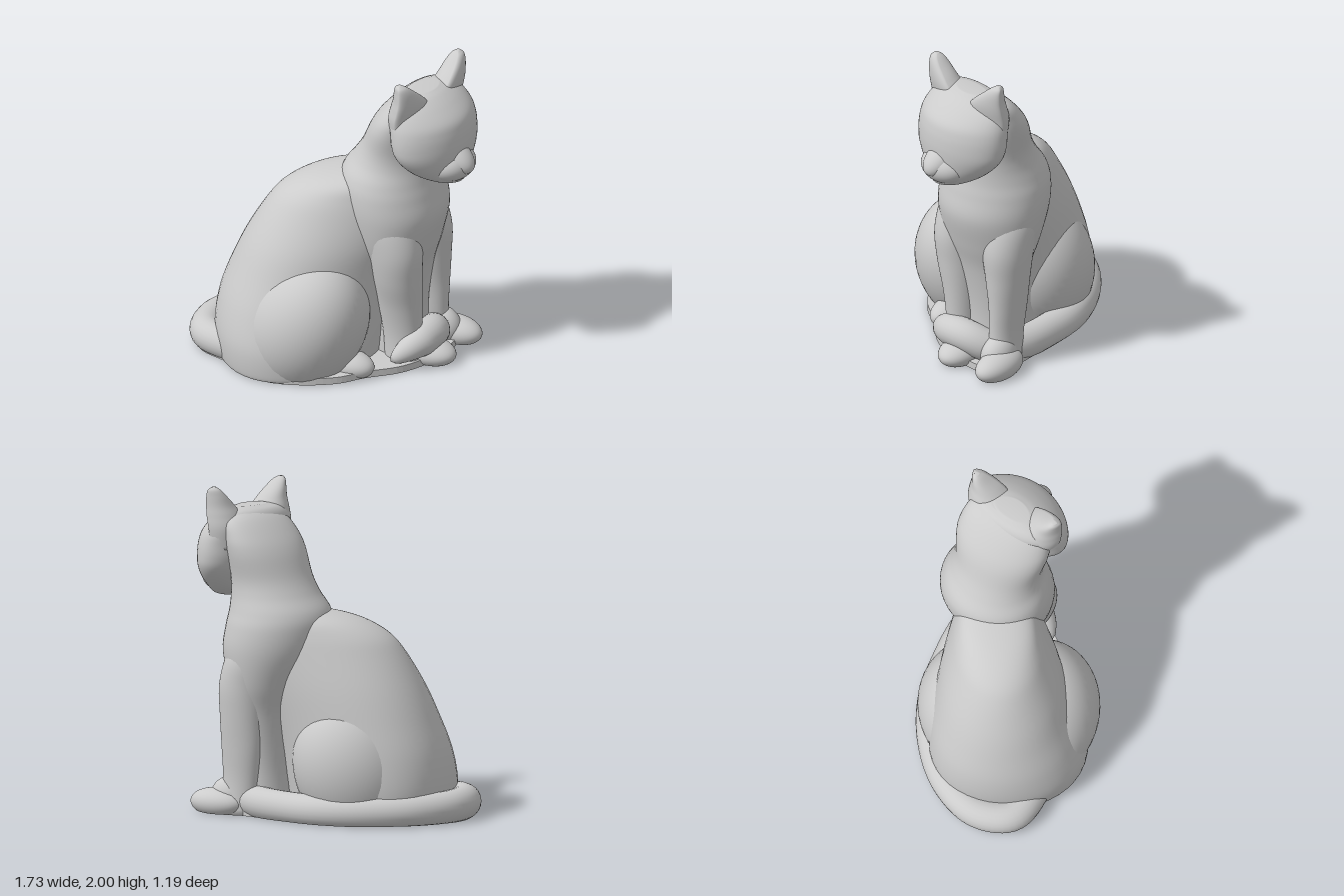
import * as THREE from 'three';
import { mergeVertices } from 'three/addons/utils/BufferGeometryUtils.js';

const material = new THREE.MeshStandardMaterial({ color: 0xcccccc });

function add(parent, name, geometry) {
  const mesh = new THREE.Mesh(geometry, material);
  mesh.name = name;
  parent.add(mesh);
}

// Smooth skin over horizontal ellipses, listed bottom to top as
// [y, centreX, centreZ, radiusX, radiusZ]; yaw turns every ellipse.
// cup below 1 flattens the +x side, taper narrows the ellipse towards +x.
function loft(sections, { yaw = 0, cup = 1, taper = 0 } = {}) {
  const n = sections.length, rows = (n - 1) * 6, cols = 48;
  const spline = new THREE.CubicInterpolant(sections.map((s, i) => i), sections.flat(), 5);
  const cos = Math.cos(yaw), sin = Math.sin(yaw);
  const pos = [], index = [];
  for (let i = 0; i <= rows; i++) {
    const [y, cx, cz, rx, rz] = spline.evaluate((i / rows) * (n - 1));
    for (let j = 0; j < cols; j++) {
      const a = (j / cols) * Math.PI * 2, ca = Math.cos(a);
      const u = rx * ca * (ca > 0 ? cup : 1);
      const w = rz * Math.sin(a) * (1 - taper * ca);
      pos.push(cx + u * cos + w * sin, y, cz - u * sin + w * cos);
    }
  }
  for (let i = 0; i < rows; i++) {
    for (let j = 0; j < cols; j++) {
      const k = (j + 1) % cols;
      const a = i * cols + j, b = a + cols, c = i * cols + k, d = c + cols;
      index.push(a, b, c, b, d, c);
    }
  }
  // end caps
  const first = sections[0], last = sections[n - 1], base = pos.length / 3, top = rows * cols;
  pos.push(first[1], first[0], first[2], last[1], last[0], last[2]);
  for (let j = 0; j < cols; j++) {
    const k = (j + 1) % cols;
    index.push(base, j, k, base + 1, top + k, top + j);
  }
  const geometry = new THREE.BufferGeometry();
  geometry.setAttribute('position', new THREE.Float32BufferAttribute(pos, 3));
  geometry.setIndex(index);
  // cap centres are stored as y, x, z above; put them in order
  const p = geometry.attributes.position;
  for (const i of [base, base + 1]) p.setXYZ(i, p.getX(i), p.getY(i), p.getZ(i));
  p.setXYZ(base, first[1], first[0], first[2]);
  p.setXYZ(base + 1, last[1], last[0], last[2]);
  geometry.computeVertexNormals();
  return geometry;
}

// Flatten everything below the ground and smooth the result.
function settle(geometry) {
  const p = geometry.attributes.position;
  for (let i = 0; i < p.count; i++) p.setY(i, Math.max(0, p.getY(i)));
  geometry.deleteAttribute('uv');
  geometry.deleteAttribute('normal');
  const merged = mergeVertices(geometry, 1e-4);
  merged.computeVertexNormals();
  return merged;
}

// Ellipsoid resting on the ground plane.
function blob(centre, radii, yaw = 0, tilt = 0) {
  const g = new THREE.SphereGeometry(1, 48, 32);
  g.scale(...radii);
  g.rotateZ(tilt);
  g.rotateY(yaw);
  g.translate(...centre);
  return settle(g);
}

// Tube whose radius follows a rule along the path.
function taperedTube(points, radiusAt) {
  const path = new THREE.CatmullRomCurve3(points.map((p) => new THREE.Vector3(...p)));
  const rows = 110, sides = 24;
  const g = new THREE.TubeGeometry(path, rows, 1, sides);
  const p = g.attributes.position, v = new THREE.Vector3();
  for (let i = 0; i < p.count; i++) {
    const t = Math.floor(i / (sides + 1)) / rows;
    const c = path.getPointAt(t);
    v.fromBufferAttribute(p, i).sub(c).multiplyScalar(radiusAt(t)).add(c);
    p.setXYZ(i, v.x, v.y, v.z);
  }
  return settle(g);
}

// Flat foot plate from an outline of [x, z] points.
function plate(outline, height) {
  const shape = new THREE.Shape();
  const curve = new THREE.CatmullRomCurve3(outline.map(([x, z]) => new THREE.Vector3(x, -z, 0)), true);
  shape.setFromPoints(curve.getPoints(90).slice(0, -1));
  const g = new THREE.ExtrudeGeometry(shape, { depth: height, bevelEnabled: false });
  return g.rotateX(-Math.PI / 2);
}

export function createModel() {
  const cat = new THREE.Group();
  cat.name = 'sittingCat';

  // Flat underside joining body, tail and paws
  add(cat, 'base', plate([
    [0.33, 0.22], [0.22, 0.36], [0, 0.5], [-0.2, 0.55], [-0.5, 0.45], [-0.72, 0.38],
    [-0.82, 0.13], [-0.7, -0.13], [-0.46, -0.36], [-0.2, -0.48], [0.1, -0.5], [0.42, -0.5],
    [0.6, -0.45], [0.6, -0.2], [0.5, 0.04],
  ], 0.045));

  // Hind body, turned away from the facing direction
  add(cat, 'body', loft([
    [0, -0.2, 0.07, 0.47, 0.44],
    [0.03, -0.2, 0.07, 0.5, 0.465],
    [0.2, -0.2, 0.06, 0.52, 0.475],
    [0.4, -0.18, 0.03, 0.52, 0.445],
    [0.6, -0.13, -0.01, 0.51, 0.4],
    [0.8, -0.06, -0.05, 0.5, 0.355],
    [1.0, 0.02, -0.1, 0.475, 0.29],
    [1.11, 0.07, -0.13, 0.435, 0.25],
    [1.19, 0.13, -0.16, 0.355, 0.21],
    [1.235, 0.19, -0.19, 0.25, 0.15],
    [1.26, 0.25, -0.21, 0.1, 0.07],
  ], { yaw: 0.52, taper: 0.2 }));

  // Chest, shoulders and neck up to the back of the skull
  add(cat, 'chestAndNeck', loft([
    [0, 0.33, -0.25, 0.16, 0.2],
    [0.3, 0.33, -0.25, 0.15, 0.2],
    [0.6, 0.33, -0.235, 0.19, 0.26],
    [0.8, 0.32, -0.23, 0.255, 0.32],
    [1.0, 0.3, -0.23, 0.32, 0.35],
    [1.15, 0.28, -0.23, 0.32, 0.345],
    [1.25, 0.28, -0.23, 0.3, 0.32],
    [1.35, 0.31, -0.235, 0.26, 0.285],
    [1.45, 0.34, -0.235, 0.23, 0.275],
    [1.6, 0.38, -0.235, 0.2, 0.295],
    [1.7, 0.42, -0.235, 0.17, 0.29],
    [1.8, 0.48, -0.235, 0.13, 0.25],
    [1.86, 0.51, -0.235, 0.06, 0.13],
  ]));

  // Front legs, fading into the shoulders
  add(cat, 'rightFrontLeg', loft([
    [0, 0.43, -0.1, 0.12, 0.1],
    [0.2, 0.42, -0.1, 0.125, 0.1],
    [0.4, 0.41, -0.085, 0.14, 0.115],
    [0.6, 0.405, -0.06, 0.155, 0.14],
    [0.8, 0.39, -0.05, 0.175, 0.155],
    [1.0, 0.33, -0.07, 0.18, 0.16],
    [1.15, 0.3, -0.1, 0.12, 0.1],
  ]));
  add(cat, 'leftFrontLeg', loft([
    [0, 0.44, -0.44, 0.12, 0.09],
    [0.2, 0.42, -0.43, 0.125, 0.09],
    [0.4, 0.41, -0.435, 0.14, 0.1],
    [0.6, 0.405, -0.43, 0.155, 0.125],
    [0.8, 0.39, -0.42, 0.175, 0.15],
    [1.0, 0.33, -0.4, 0.18, 0.16],
    [1.15, 0.3, -0.36, 0.12, 0.1],
  ]));
  add(cat, 'rightFrontPaw', blob([0.55, 0.055, -0.19], [0.18, 0.085, 0.12]));
  add(cat, 'leftFrontPaw', blob([0.56, 0.06, -0.49], [0.185, 0.09, 0.11]));
  add(cat, 'leftAnkle', blob([0.5, 0.1, -0.44], [0.13, 0.12, 0.1], 0, -0.4));

  // Hind legs
  add(cat, 'rightHaunch', blob([-0.085, 0.285, 0.22], [0.38, 0.48, 0.37], 0.1, -0.5));
  add(cat, 'leftHaunch', blob([-0.22, 0.3, -0.14], [0.37, 0.45, 0.35], 0.6, -0.35));
  add(cat, 'rightHindFoot', blob([0.19, 0.05, 0.18], [0.18, 0.09, 0.11]));

  // Tail sweeping round the left side, its tip draped over the right paw
  add(cat, 'tail', taperedTube([
    [-0.25, 0.07, 0.33], [-0.5, 0.085, 0.37], [-0.7, 0.09, 0.32], [-0.76, 0.085, 0.12],
    [-0.66, 0.08, -0.12], [-0.45, 0.075, -0.31], [-0.2, 0.07, -0.42], [0.05, 0.07, -0.445],
    [0.3, 0.08, -0.43], [0.48, 0.11, -0.35], [0.55, 0.165, -0.23], [0.53, 0.155, -0.06],
    [0.43, 0.07, 0.07],
  ], (t) => (0.105 - 0.005 * t) * Math.sqrt(Math.min(1, (1 - t) * 12))));

  // Head, modelled facing +x and turned slightly
  const head = new THREE.Group();
  head.name = 'head';
  head.position.set(0.53, 0, -0.22);
  head.rotation.y = -0.16;
  cat.add(head);
  add(head, 'skull', loft([
    [1.295, 0.16, 0, 0.06, 0.07],
    [1.31, 0.14, 0, 0.12, 0.12],
    [1.36, 0.11, 0, 0.15, 0.2],
    [1.43, 0.09, 0, 0.175, 0.275],
    [1.5, 0.075, 0, 0.195, 0.32],
    [1.57, 0.065, 0, 0.205, 0.333],
    [1.65, 0.055, 0, 0.205, 0.33],
    [1.72, 0.035, 0, 0.2, 0.315],
    [1.79, 0, 0, 0.165, 0.28],
    [1.84, -0.02, 0, 0.115, 0.21],
    [1.865, -0.02, 0, 0.06, 0.11],
  ], { taper: 0.15 }));
  add(head, 'muzzle', blob([0.175, 1.41, 0], [0.145, 0.11, 0.165]));
  add(head, 'noseBridge', blob([0.2, 1.47, 0], [0.155, 0.085, 0.095], 0, -0.5));

  // Ears, broad at the root and flattened towards the face
  for (const [name, s] of [['rightEar', 1], ['leftEar', -1]]) {
    add(head, name, loft([
      [1.62, 0.01, 0.19 * s, 0.12, 0.12],
      [1.74, 0.02, 0.195 * s, 0.14, 0.135],
      [1.82, 0.035, 0.205 * s, 0.135, 0.125],
      [1.88, 0.04, 0.228 * s, 0.115, 0.097],
      [1.94, 0.035, 0.26 * s, 0.09, 0.062],
      [1.98, 0.025, 0.28 * s, 0.06, 0.037],
      [2.0, 0.01, 0.285 * s, 0.02, 0.014],
    ], { yaw: 0.2 * -s, cup: 0.3 }));
  }
  return cat;
}
